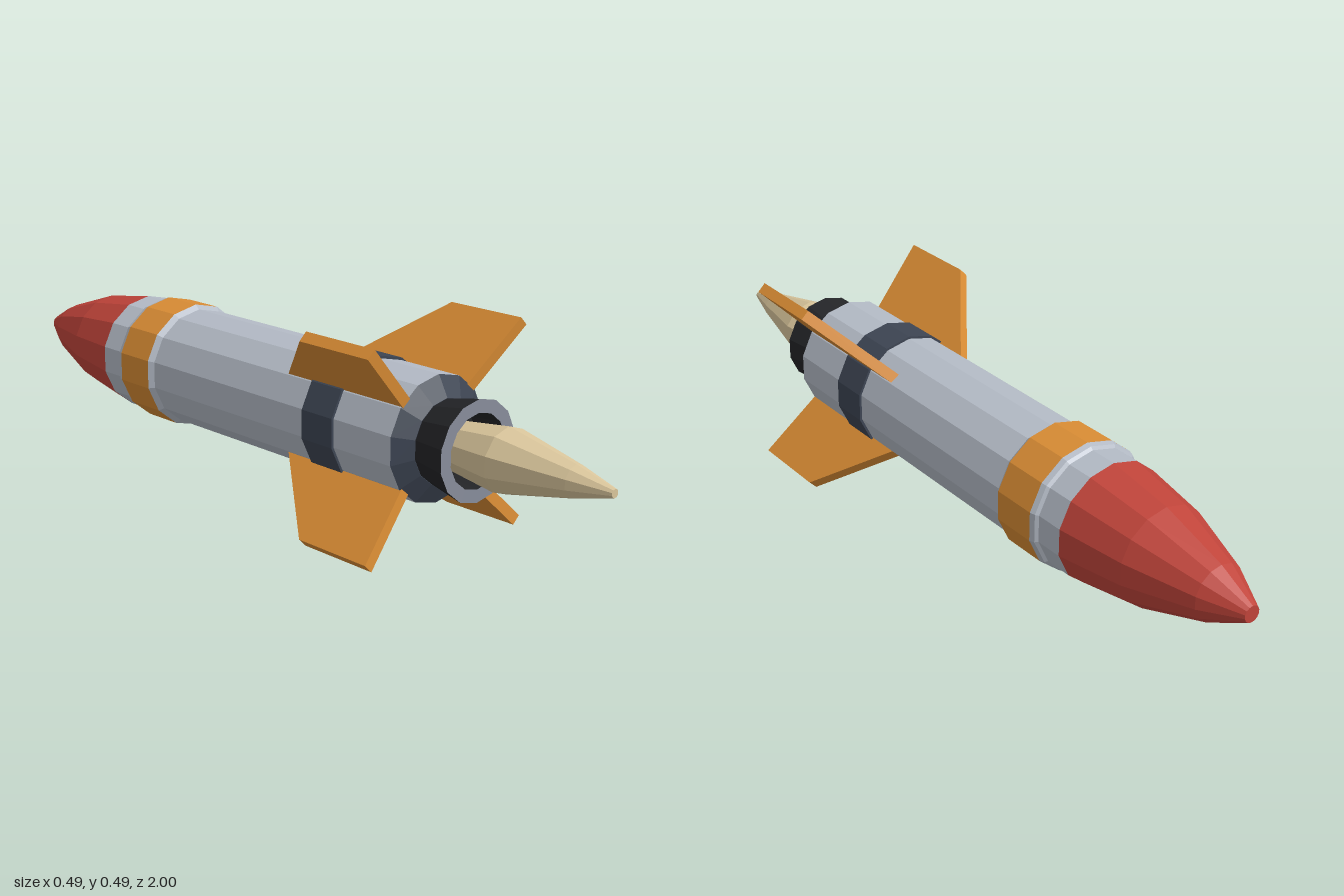
import * as THREE from 'three';

const AXIS_Y = 0.249; // height of the rocket's long axis

function mat(name, color) {
  const m = new THREE.MeshStandardMaterial({ color });
  m.name = name;
  return m;
}

// Faceted solid of revolution along z; profile is [radius, z] pairs.
// Ascending z faces outward, descending z faces the axis.
function turned(name, profile, sides, material) {
  const points = profile.map(([r, z]) => new THREE.Vector2(r, z));
  const geometry = new THREE.LatheGeometry(points, sides).rotateX(Math.PI / 2).toNonIndexed();
  geometry.computeVertexNormals();
  const mesh = new THREE.Mesh(geometry, material);
  mesh.name = name;
  return mesh;
}

export function createModel() {
  const hull = mat('hull grey', 0xb4bbc6);
  const red = mat('nose red', 0xc0443a);
  const orange = mat('orange', 0xd98c34);
  const navy = mat('navy', 0x3d4553);
  const black = mat('nozzle black', 0x232427);
  const rimGrey = mat('rim grey', 0x878c9a);
  const flameTan = mat('flame tan', 0xd9c59b);

  const rocket = new THREE.Group();
  rocket.name = 'rocket';
  rocket.position.y = AXIS_Y;

  const R = 0.149;
  const sides = 14;

  // Hull and nose cone
  rocket.add(
    turned('noseCone', [[0, -1], [0.02, -1], [0.068, -0.905], [0.122, -0.735], [R, -0.563]], sides, red),
    turned('body', [[R, -0.563], [R, 0.508]], sides, hull),
  );

  // Orange band with bevelled grey rims
  rocket.add(
    turned('bandFrontRim', [[R, -0.492], [0.156, -0.486], [0.16, -0.473]], sides, hull),
    turned('band', [[0.16, -0.473], [0.16, -0.358]], sides, orange),
    turned('bandRearRim', [[0.16, -0.358], [R, -0.345]], sides, hull),
  );

  // Navy band and tail cone
  rocket.add(
    turned('tailBand', [[R, 0.225], [0.155, 0.225], [0.155, 0.326], [R, 0.326]], sides, navy),
    turned('tailCone', [[R, 0.508], [0.1, 0.535], [0.07, 0.535]], sides, navy),
  );

  // Hollow nozzle with a pale rim
  rocket.add(
    turned('nozzle', [[0.098, 0.53], [0.118, 0.63]], sides, black),
    turned('nozzleRim', [[0.118, 0.63], [0.087, 0.63]], sides, rimGrey),
    turned('nozzleInside', [[0.087, 0.63], [0.078, 0.55], [0, 0.55]], sides, black),
  );

  // Exhaust flame
  rocket.add(
    turned('flame', [[0.055, 0.55], [0.076, 0.715], [0.037, 0.9], [0.01, 1], [0, 1]], 10, flameTan),
  );

  // Four swept fins on the diagonals, drawn as radius against z
  const outline = [[0.141, 0.13], [0.336, 0.326], [0.336, 0.54], [0.141, 0.51]];
  const shape = new THREE.Shape(outline.map(([r, z]) => new THREE.Vector2(r, z)));
  const thickness = 0.027;
  const finGeometry = new THREE.ExtrudeGeometry(shape, { depth: thickness, bevelEnabled: false })
    .translate(0, 0, -thickness / 2)
    .rotateX(Math.PI / 2);
  for (let i = 0; i < 4; i++) {
    const fin = new THREE.Mesh(finGeometry, orange);
    fin.name = 'fin' + (i + 1);
    fin.rotation.z = Math.PI / 4 + (i * Math.PI) / 2;
    rocket.add(fin);
  }

  const model = new THREE.Group();
  model.name = 'model';
  model.add(rocket);
  return model;
}
